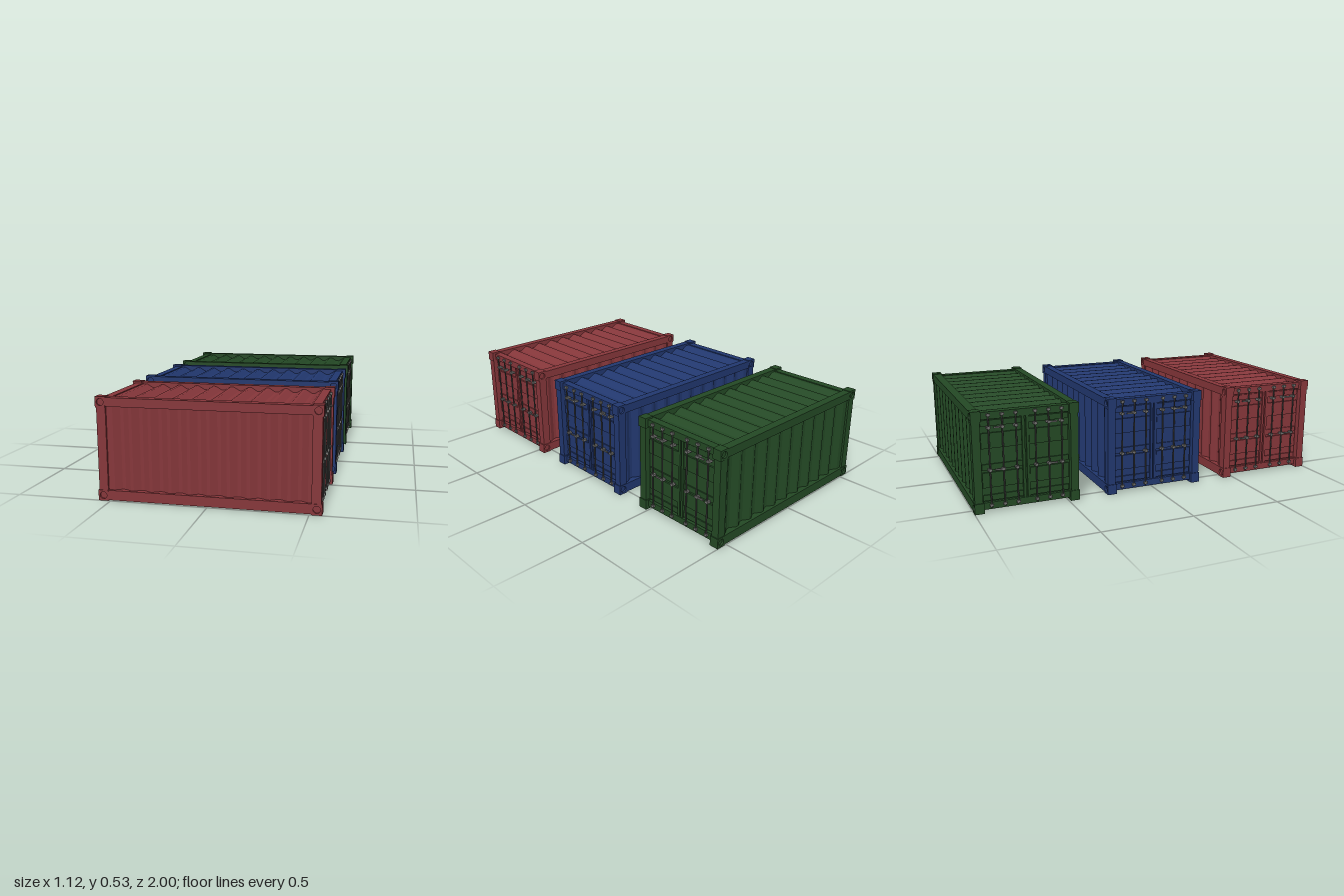
import * as THREE from 'three';

const makeMaterial = (name, color) => {
  const m = new THREE.MeshStandardMaterial({ color });
  m.name = name;
  return m;
};

function add(parent, name, geometry, material, x = 0, y = 0, z = 0) {
  const mesh = new THREE.Mesh(geometry, material);
  mesh.name = name;
  mesh.position.set(x, y, z);
  parent.add(mesh);
  return mesh;
}

// Box given by its two corners
function block(parent, name, material, [x0, y0, z0], [x1, y1, z1]) {
  const g = new THREE.BoxGeometry(Math.abs(x1 - x0), Math.abs(y1 - y0), Math.abs(z1 - z0));
  return add(parent, name, g, material, (x0 + x1) / 2, (y0 + y1) / 2, (z0 + z1) / 2);
}

// Corrugated sheet: waves run along x, outward is +y, the sheet spans z
function corrugated(span) {
  const hi = 0, lo = -0.02, back = -0.03;
  const s = new THREE.Shape();
  s.moveTo(-0.515, back);
  s.lineTo(-0.515, hi);
  for (let i = 0; i < 10; i++) {
    const x = -0.478 + i * 0.0985;
    s.lineTo(x, hi);
    s.lineTo(x + 0.033, lo);
    s.lineTo(x + 0.05, lo);
    s.lineTo(x + 0.083, hi);
  }
  s.lineTo(0.515, hi);
  s.lineTo(0.515, back);
  const g = new THREE.ExtrudeGeometry(s, { depth: span, bevelEnabled: false });
  return g.translate(0, 0, -span / 2);
}

// Thin casting face with a round lifting hole
function holedPlate() {
  const s = new THREE.Shape();
  s.moveTo(-0.026, -0.0275);
  s.lineTo(0.026, -0.0275);
  s.lineTo(0.026, 0.0275);
  s.lineTo(-0.026, 0.0275);
  const hole = new THREE.Path();
  hole.absarc(0, 0, 0.018, 0, Math.PI * 2, true);
  s.holes.push(hole);
  return new THREE.ExtrudeGeometry(s, { depth: 0.01, bevelEnabled: false, curveSegments: 12 });
}

// One end with two doors, built facing +x
function doorEnd(paint, rodSteel, fittingSteel) {
  const end = new THREE.Group();
  end.name = 'doorEnd';
  block(end, 'doorBacking', paint, [0.51, 0.04, -0.24], [0.526, 0.49, 0.24]);
  block(end, 'topEndRail', paint, [0.5, 0.482, -0.235], [0.543, 0.52, 0.235]);
  block(end, 'bottomEndRail', paint, [0.5, 0.014, -0.235], [0.543, 0.05, 0.235]);
  for (const side of [-1, 1]) {
    // Raised pressings and frame of each door leaf
    for (const [y0, y1] of [[0.33, 0.41], [0.125, 0.205]])
      block(end, 'doorPressing', paint, [0.52, y0, side * 0.02], [0.535, y1, side * 0.228]);
    for (const y of [0.056, 0.218, 0.445])
      block(end, 'doorRib', paint, [0.52, y, side * 0.02], [0.533, y + 0.03, side * 0.228]);
    block(end, 'doorInnerStile', paint, [0.52, 0.05, side * 0.004], [0.538, 0.482, side * 0.018]);
    // Locking rods with their brackets
    for (const z of [0.05, 0.12, 0.19]) {
      add(end, 'lockingRod', new THREE.CylinderGeometry(0.004, 0.004, 0.49, 8),
        rodSteel, 0.548, 0.268, side * z);
      for (const y of [0.035, 0.22, 0.44, 0.505])
        block(end, 'rodBracket', fittingSteel,
          [0.525, y - 0.006, side * z - 0.009], [0.554, y + 0.006, side * z + 0.009]);
    }
    // Handles between rods
    for (const y of [0.22, 0.44])
      block(end, 'lockHandle', fittingSteel,
        [0.547, y - 0.004, side * 0.12], [0.552, y + 0.004, side * 0.165]);
  }
  return end;
}

function container(name, paint, rodSteel, fittingSteel) {
  const box = new THREE.Group();
  box.name = name;

  // Corrugated skins
  const sheet = corrugated(0.48);
  add(box, 'roofPanel', sheet, paint, 0, 0.515, 0);
  add(box, 'floorPanel', sheet, paint, 0, 0.017, 0).rotation.x = Math.PI;
  const wall = corrugated(0.45);
  add(box, 'frontWall', wall, paint, 0, 0.267, 0.266).rotation.x = Math.PI / 2;
  add(box, 'backWall', wall, paint, 0, 0.267, -0.266).rotation.x = -Math.PI / 2;

  // Side rails, posts and corner castings
  const plate = holedPlate();
  for (const sz of [-1, 1]) {
    block(box, 'topSideRail', paint, [-0.512, 0.481, sz * 0.235], [0.512, 0.526, sz * 0.279]);
    block(box, 'bottomSideRail', paint, [-0.512, 0.004, sz * 0.235], [0.512, 0.055, sz * 0.279]);
    for (const sx of [-1, 1]) {
      block(box, 'cornerPost', paint,
        [sx * 0.51, 0.05, sz * 0.235], [sx * 0.557, 0.478, sz * 0.277]);
      for (const y of [0.0275, 0.5025]) {
        block(box, 'cornerCasting', paint,
          [sx * 0.51, y - 0.0275, sz * 0.229], [sx * 0.562, y + 0.0275, sz * 0.27]);
        add(box, 'castingFace', plate, paint, sx * 0.536, y, sz > 0 ? 0.27 : -0.28);
      }
    }
  }

  // Doors at both ends
  for (const turn of [0, Math.PI]) {
    const end = doorEnd(paint, rodSteel, fittingSteel);
    end.rotation.y = turn;
    box.add(end);
  }
  return box;
}

export function createModel() {
  const model = new THREE.Group();
  model.name = 'shippingContainers';
  const rodSteel = makeMaterial('rodSteel', 0x4c4c4a);
  const fittingSteel = makeMaterial('fittingSteel', 0x70706e);
  const paints = [
    ['redContainer', makeMaterial('redPaint', 0x85363a), 0.72],
    ['blueContainer', makeMaterial('bluePaint', 0x21376e), 0],
    ['greenContainer', makeMaterial('greenPaint', 0x234824), -0.72],
  ];
  for (const [name, paint, z] of paints) {
    const c = container(name, paint, rodSteel, fittingSteel);
    c.position.z = z;
    model.add(c);
  }
  return model;
}
